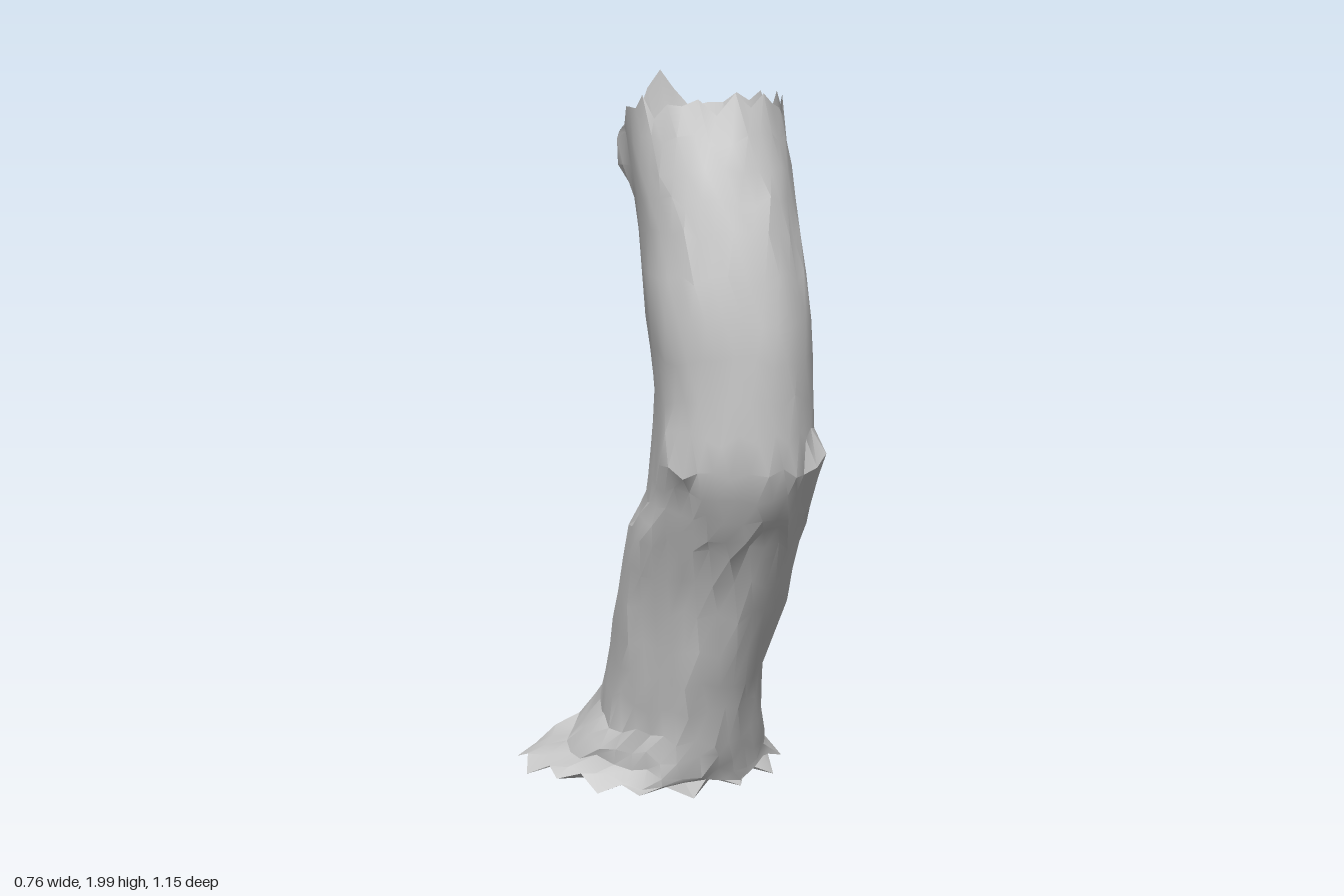
import * as THREE from 'three';
import { toCreasedNormals } from 'three/addons/utils/BufferGeometryUtils.js';

// Trunk outline by height: y, x min, x max, z min, z max,
// then how much of the corners (+x,-z), (-x,+z) and (-x,-z) remains after flattening
const PROFILE = [
  [0.05, -0.36, 0.37, -0.56, 0.2, 0.93, 0.87, 0.93],
  [0.11, -0.24, 0.33, -0.5, 0.21, 0.85, 0.88, 0.97],
  [0.22, -0.15, 0.31, -0.42, 0.23, 0.79, 0.9, 1],
  [0.4, -0.125, 0.3, -0.36, 0.295, 0.8, 0.9, 1],
  [0.6, -0.115, 0.35, -0.24, 0.36, 0.86, 0.9, 1],
  [0.8, -0.095, 0.36, -0.06, 0.45, 0.93, 0.92, 1],
  [0.9, -0.06, 0.37, 0.01, 0.515, 0.95, 0.96, 1],
  [1.02, -0.05, 0.37, 0.05, 0.575, 0.97, 1, 1],
  [1.2, -0.045, 0.36, 0.08, 0.575, 0.97, 1, 1],
  [1.4, -0.07, 0.35, 0.115, 0.575, 0.97, 0.97, 1],
  [1.6, -0.08, 0.325, 0.08, 0.54, 1, 0.97, 1],
  [1.76, -0.1, 0.31, 0.045, 0.5, 1, 1, 1],
  [1.9, -0.11, 0.295, 0.0, 0.46, 1, 1, 1],
];
const CORNERS = [[1, -1], [-1, 1], [-1, -1]];
// Knots and splinters pulled out of the bark: centre, reach, pull
const KNOTS = [
  [[0.34, 1.02, 0.42], 0.09, [0.03, 0.03, 0.03]],
  [[-0.03, 1.05, 0.45], 0.09, [-0.02, 0.03, 0.02]],
  [[-0.08, 1.77, 0.1], 0.11, [-0.07, 0, -0.05]],
].map(([at, reach, pull]) => [new THREE.Vector3(...at), reach, new THREE.Vector3(...pull)]);
const SEGMENTS = 32, STEPS = 2;

function seeded(seed) {
  return () => {
    seed = (seed * 16807) % 2147483647;
    return seed / 2147483647;
  };
}

// Outline row at a fractional index
function section(t) {
  const i = Math.min(Math.floor(t), PROFILE.length - 2);
  return PROFILE[i].map((v, k) => THREE.MathUtils.lerp(v, PROFILE[i + 1][k], t - i));
}

function trunkGeometry() {
  const random = seeded(4711);
  const rows = (PROFILE.length - 1) * STEPS;
  const positions = [], index = [];
  for (let r = 0; r <= rows; r++) {
    const [y, x0, x1, z0, z1, ...keep] = section(r / STEPS);
    const rx = (x1 - x0) / 2, rz = (z1 - z0) / 2;
    const bottom = r === 0, top = r === rows;
    const power = y < 0.15 ? 1 : 0.9;
    const diagonal = Math.hypot(rx, rz) * 2 ** ((1 - power) / 2);
    for (let s = 0; s < SEGMENTS; s++) {
      const a = ((s + (r % 2) * 0.5) / SEGMENTS) * Math.PI * 2;
      const c = Math.cos(a), n = Math.sin(a);
      let dx = rx * Math.sign(c) * Math.abs(c) ** power;
      let dz = rz * Math.sign(n) * Math.abs(n) ** power;
      // Flatten the worn corners
      CORNERS.forEach(([sx, sz], i) => {
        const over = Math.max(0, dx * sx + dz * sz - diagonal * keep[i]) / 2;
        dx -= over * sx;
        dz -= over * sz;
      });
      // Shallow bark ridges and uneven facets
      let k = 0.985 + 0.01 * Math.sin(5 * a + y * 1.5) + (random() - 0.5) * 0.035;
      let py = y + (random() - 0.5) * 0.035;
      if (bottom) {
        // Torn, splayed root edge, lowest at the back
        k = (s % 2 ? 0.99 : 0.9) + random() * 0.09;
        py = 0.05 + 0.025 * n + (s % 2 ? -0.03 : 0.02) * random();
      } else if (top) {
        // Splintered rim, notched at one side, with one tall splinter at the back
        py = 1.88 + random() * 0.05 + (s % 2) * 0.025;
        if (s > 16 && s < 20) py -= 0.05;
        if (s === 22) py = 2;
      }
      const p = new THREE.Vector3(
        (x0 + x1) / 2 + dx * k, Math.max(py, 0), (z0 + z1) / 2 + dz * k);
      for (const [at, reach, pull] of KNOTS) {
        p.addScaledVector(pull, Math.max(0, 1 - p.distanceTo(at) / reach));
      }
      positions.push(p.x, p.y, p.z);
    }
  }
  for (let r = 0; r < rows; r++) {
    for (let s = 0; s < SEGMENTS; s++) {
      const a = r * SEGMENTS + s, b = r * SEGMENTS + ((s + 1) % SEGMENTS);
      const c = a + SEGMENTS, d = b + SEGMENTS;
      // Rows are staggered by half a segment
      if (r % 2) index.push(a, c, d, a, d, b);
      else index.push(a, c, b, b, c, d);
    }
  }
  const geometry = new THREE.BufferGeometry();
  geometry.setAttribute('position', new THREE.Float32BufferAttribute(positions, 3));
  geometry.setIndex(index);
  return toCreasedNormals(geometry, 0.45);
}

export function createModel() {
  const model = new THREE.Group();
  model.name = 'hollowTreeTrunk';
  // Hollow bent trunk, open at both ends
  const trunk = new THREE.Mesh(trunkGeometry(),
    new THREE.MeshStandardMaterial({ color: 0xcccccc, side: THREE.DoubleSide }));
  trunk.name = 'trunk';
  model.add(trunk);
  return model;
}
